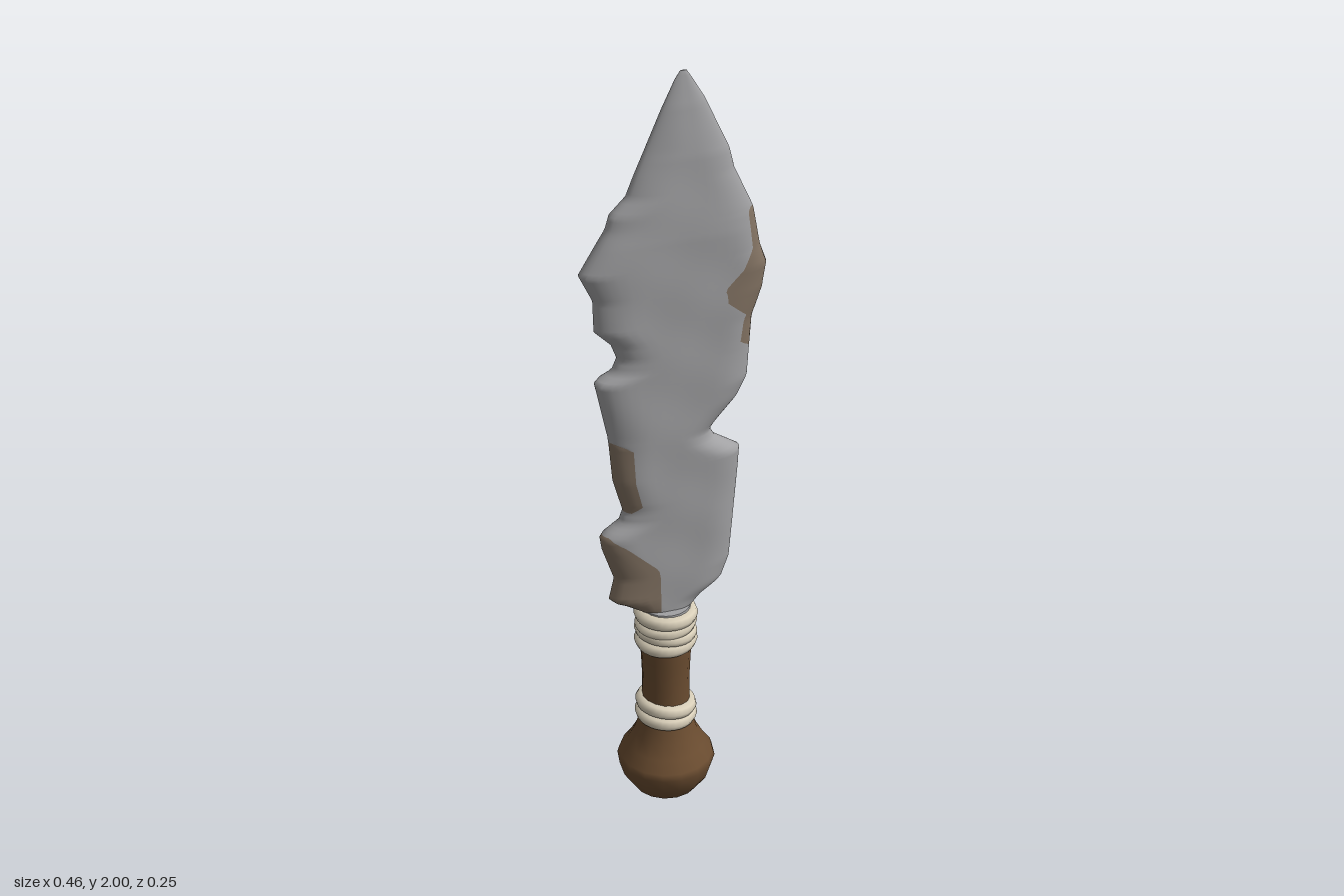
import * as THREE from 'three';

const mat = (name, color) => {
  const m = new THREE.MeshStandardMaterial({ color });
  m.name = name;
  return m;
};

// Piecewise-linear lookup in a list of [y, value]
function lookup(table, y) {
  if (y <= table[0][0]) return table[0][1];
  for (let i = 1; i < table.length; i++) {
    const [y0, v0] = table[i - 1], [y1, v1] = table[i];
    if (y <= y1) return v0 + (v1 - v0) * (y - y0) / (y1 - y0);
  }
  return table[table.length - 1][1];
}

// Chipped blade outline, rust widths measured in from each edge, half thickness
const leftEdge = [[0.57, -0.075], [0.58, -0.085], [0.612, -0.14], [0.625, -0.17], [0.69, -0.155],
  [0.78, -0.185], [0.815, -0.19], [0.85, -0.14], [0.88, -0.13], [0.97, -0.155], [1.09, -0.165],
  [1.245, -0.197], [1.265, -0.155], [1.3, -0.14], [1.34, -0.155], [1.38, -0.195], [1.46, -0.197],
  [1.53, -0.23], [1.635, -0.165], [1.67, -0.155], [1.71, -0.115], [1.76, -0.095], [1.91, -0.03],
  [1.98, 0.003], [2, 0.016]];
const rightEdge = [[0.57, 0.04], [0.58, 0.045], [0.61, 0.075], [0.645, 0.125], [0.7, 0.145],
  [0.955, 0.165], [1.01, 0.168], [1.05, 0.105], [1.075, 0.09], [1.1, 0.11], [1.155, 0.16], [1.205, 0.185],
  [1.365, 0.195], [1.44, 0.222], [1.5, 0.23], [1.55, 0.212], [1.645, 0.195], [1.75, 0.147],
  [1.8, 0.135], [1.93, 0.075], [1.98, 0.045], [2, 0.032]];
const leftRust = [[0.57, 0.035], [0.58, 0.04], [0.612, 0.095], [0.625, 0.125], [0.69, 0.108],
  [0.715, 0.112], [0.785, 0.06], [0.815, 0.02], [0.825, 0], [0.87, 0], [0.9, 0.045],
  [0.995, 0.048], [1.065, 0.05], [1.08, 0]];
const rightRust = [[1.285, 0], [1.31, 0.035], [1.38, 0.03], [1.42, 0.092], [1.455, 0.108],
  [1.55, 0.027], [1.645, 0.02], [1.655, 0]];
const thickness = [[0.57, 0.041], [1.0, 0.043], [1.6, 0.041], [1.8, 0.031], [1.92, 0.018], [2, 0.003]];

function bladeGeometry() {
  const ROWS = 143, SIDE = 6, MID = 18, N = SIDE * 2 + MID, RING = N * 2;
  const pos = [], steel = [], rust = [];
  const rustWidths = [];
  for (let r = 0; r <= ROWS; r++) {
    const y = 0.57 + 1.43 * r / ROWS;
    const xl = lookup(leftEdge, y), xr = lookup(rightEdge, y);
    const min = (xr - xl) * 0.02;
    const wl = Math.max(min, lookup(leftRust, y)), wr = Math.max(min, lookup(rightRust, y));
    rustWidths.push([lookup(leftRust, y), lookup(rightRust, y)]);
    const xAt = c => {
      if (c <= SIDE) return xl + wl * (c / SIDE) ** 1.5;
      if (c >= N - SIDE) return xr - wr * ((N - c) / SIDE) ** 1.5;
      const t = (1 - Math.cos(Math.PI * (c - SIDE) / MID)) / 2;
      return xl + wl + (xr - wr - xl - wl) * t;
    };
    const zAt = x => {
      const bevel = (d, w) => Math.min(1, Math.max(0, d) / w);
      const w = Math.min(1, (xr - xl) / 0.2);
      const a = bevel(x - xl, 0.09 * w), b = bevel(xr - x, 0.08 * w);
      const round = t => Math.sqrt(1 - (1 - t) ** 2);
      const dents = 1 + 0.04 * Math.sin(x * 31 + y * 9) * Math.sin(y * 23 - x * 12);
      return lookup(thickness, y) * round(a) * round(b) * dents;
    };
    for (let i = 0; i < RING; i++) {
      const x = xAt(i <= N ? i : RING - i);
      const z = i % N === 0 ? 0 : zAt(x);
      pos.push(x, y, i <= N ? z : -z);
    }
  }
  for (let r = 0; r < ROWS; r++) {
    for (let i = 0; i < RING; i++) {
      const col = i < N ? i : RING - 1 - i;
      const side = col < SIDE ? 0 : col >= N - SIDE ? 1 : -1;
      const rusty = side >= 0 && rustWidths[r][side] + rustWidths[r + 1][side] > 0.02;
      const j = (i + 1) % RING, a = r * RING, b = a + RING;
      (rusty ? rust : steel).push(a + i, a + j, b + j, a + i, b + j, b + i);
    }
  }
  // Close the tip
  const top = ROWS * RING;
  for (let i = 1; i < RING - 1; i++) steel.push(top, top + i, top + i + 1);
  const g = new THREE.BufferGeometry();
  g.setAttribute('position', new THREE.Float32BufferAttribute(pos, 3));
  g.setIndex([...steel, ...rust]);
  g.addGroup(0, steel.length, 0);
  g.addGroup(steel.length, rust.length, 1);
  g.computeVertexNormals();
  return g;
}

export function createModel() {
  const steel = mat('steel', 0xa1a1a3);
  const rust = mat('rust', 0x837363);
  const wood = mat('wood', 0x6a4c30);
  const cord = mat('cord', 0xdad0ba);

  const model = new THREE.Group();
  model.name = 'chippedSword';
  const add = (parent, name, geometry, material) => {
    const m = new THREE.Mesh(geometry, material);
    m.name = name;
    parent.add(m);
    return m;
  };

  add(model, 'blade', bladeGeometry(), [steel, rust]);

  const handle = new THREE.Group();
  handle.name = 'handle';
  handle.position.x = -0.02;
  model.add(handle);

  // Turned pommel and grip
  const lathe = pts => new THREE.LatheGeometry(pts.map(p => new THREE.Vector2(...p)), 16);
  add(handle, 'pommel', lathe([[0, 0], [0.045, 0.008], [0.085, 0.034], [0.113, 0.075],
    [0.126, 0.118], [0.121, 0.135], [0.1, 0.165], [0.081, 0.2], [0.07, 0.235], [0.062, 0.26]]), wood);
  add(handle, 'grip', lathe([[0.062, 0.23], [0.061, 0.3], [0.06, 0.36], [0.063, 0.43],
    [0.066, 0.48], [0.064, 0.575], [0, 0.576]]), wood);
  add(handle, 'collar', new THREE.CylinderGeometry(0.062, 0.064, 0.02, 20).translate(0, 0.576, 0), steel);

  // Cord wraps: [height, ring radius, cord radius, tilt about z, tilt about x]
  const wraps = [[0.257, 0.061, 0.019, -0.06, 0.03], [0.287, 0.06, 0.019, -0.14, -0.03],
    [0.484, 0.061, 0.019, 0.03, 0.03], [0.51, 0.062, 0.018, -0.1, -0.04],
    [0.535, 0.061, 0.018, 0.09, 0.03], [0.561, 0.062, 0.019, -0.03, -0.02]];
  for (const [y, R, r, tz, tx] of wraps) {
    const ring = add(handle, 'cordWrap', new THREE.TorusGeometry(R, r, 8, 28).rotateX(Math.PI / 2), cord);
    ring.position.y = y;
    ring.rotation.set(tx, 0, tz);
  }
  return model;
}
